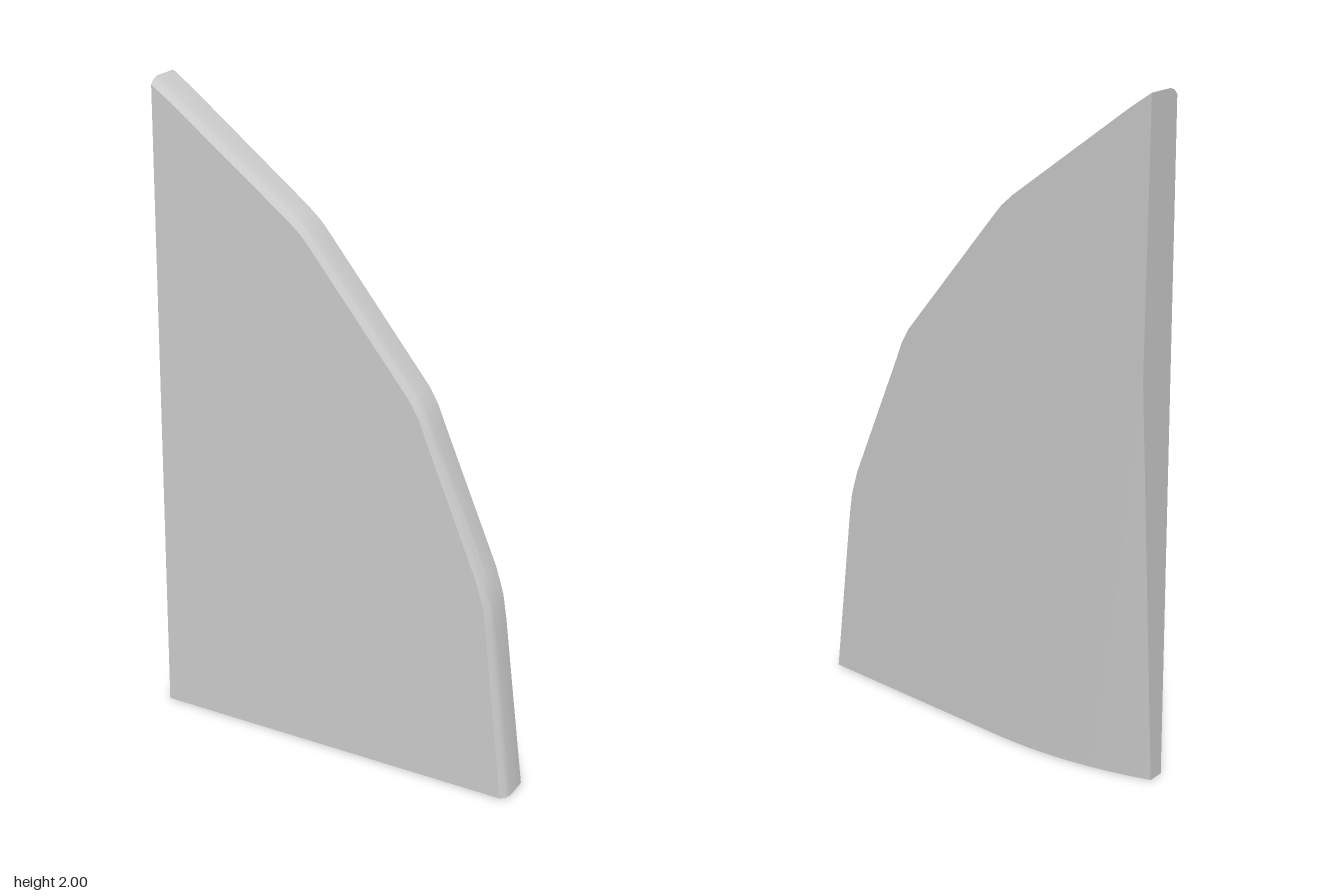
import * as THREE from 'three';
import { toCreasedNormals } from 'three/addons/utils/BufferGeometryUtils.js';

const X0 = -0.585, BACK = -0.073, APEX_Y = 1.24;

// Faceted arc of the outer rim, from the bottom corner up to the tip
const RIM = [[0.585, 0], [0.515, 0.54], [0.502, 0.62], [0.477, 0.7], [0.3, 1.11], [0.28, 1.16],
  [0.25, 1.21], [-0.07, 1.6], [-0.1, 1.635], [-0.14, 1.67], [-0.52, 1.955], [X0, 2]];

// The front plane tapers away from the thick bottom corner
const frontZ = (x, y) => 0.073 - 0.037 * (x - X0) - 0.019 * y;

// Rim ring shrunk towards the square corner, so its ends stay on the straight edges
function ring(inset, zOf) {
  return RIM.map(([x, y]) => {
    const k = 1 - inset / Math.hypot(x - X0, y);
    const px = X0 + (x - X0) * k, py = y * k;
    return new THREE.Vector3(px, py, zOf(px, py));
  });
}

function surface(name, triangles, crease = 0.5) {
  const geometry = new THREE.BufferGeometry().setFromPoints(triangles);
  const material = new THREE.MeshStandardMaterial({ color: 0xcccccc });
  const mesh = new THREE.Mesh(toCreasedNormals(geometry, crease), material);
  mesh.name = name;
  return mesh;
}

// Fill a flat polygon, turned to face the given way
function polygon(points, normal) {
  const axes = ['x', 'y', 'z'].filter((a) => Math.abs(normal[a]) < 0.5);
  const flat = points.map((p) => new THREE.Vector2(p[axes[0]], p[axes[1]]));
  const out = [];
  for (const [i, j, k] of THREE.ShapeUtils.triangulateShape(flat, [])) {
    const [a, b, c] = [points[i], points[j], points[k]];
    const n = b.clone().sub(a).cross(c.clone().sub(a));
    out.push(...(n.dot(normal) >= 0 ? [a, b, c] : [a, c, b]));
  }
  return out;
}

export function createModel() {
  const group = new THREE.Group();
  group.name = 'curvedPanel';
  const V = (x, y, z) => new THREE.Vector3(x, y, z);

  // Rings from the back edge, along the wall and over the rounded front edge
  const rings = [
    ring(0, () => BACK),
    ring(0, (x, y) => frontZ(x, y) - 0.03),
    ring(0.006, (x, y) => frontZ(x, y) - 0.012),
    ring(0.02, frontZ),
  ];
  const last = RIM.length - 1;
  const rim = [];
  for (let r = 0; r < rings.length - 1; r++) {
    for (let i = 0; i < last; i++) {
      const a = rings[r][i], b = rings[r][i + 1], c = rings[r + 1][i + 1], d = rings[r + 1][i];
      rim.push(a, b, c, a, c, d);
    }
  }
  group.add(surface('outerRim', rim, 0.6));

  // Front face
  const corner = V(X0, 0, frontZ(X0, 0));
  group.add(surface('frontFace', polygon([corner, ...rings[3]], V(0, 0, 1))));

  // Back face, with a conical hollow fanning down to a curved bottom edge
  const apex = V(X0, APEX_Y, BACK);
  const hollow = [];
  for (let i = 0; i <= 8; i++) {
    const s = i / 8;
    hollow.push(V(-0.09 + (X0 + 0.09) * s, 0, BACK + 0.097 * s * s));
  }
  group.add(surface('backFace', polygon([...rings[0], apex, hollow[0]], V(0, 0, -1))));
  const cone = [];
  for (let i = 0; i < 8; i++) cone.push(apex, hollow[i], hollow[i + 1]);
  group.add(surface('backHollow', cone));

  // Flat bottom and side edges
  const bottom = [...hollow, corner, ...rings.map((r) => r[0]).reverse()];
  group.add(surface('bottomEdge', polygon(bottom, V(0, -1, 0))));
  const side = [hollow[8], apex, ...rings.map((r) => r[last]), corner];
  group.add(surface('sideEdge', polygon(side, V(-1, 0, 0))));
  return group;
}
